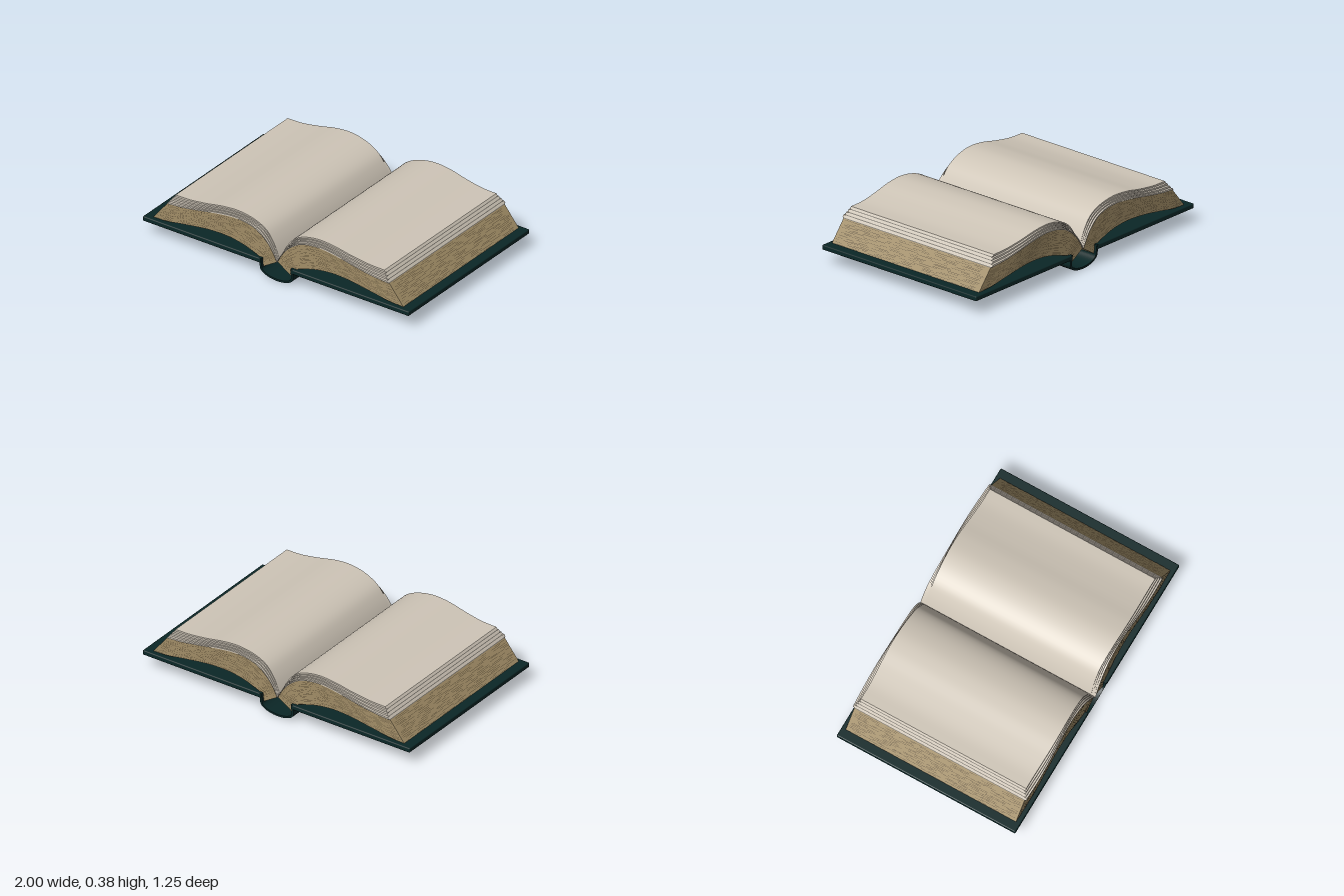
import * as THREE from 'three';
import { mergeGeometries } from 'three/addons/utils/BufferGeometryUtils.js';
import { RoundedBoxGeometry } from 'three/addons/geometries/RoundedBoxGeometry.js';

const mat = (name, color, side = THREE.FrontSide) => {
  const m = new THREE.MeshStandardMaterial({ color, side });
  m.name = name;
  return m;
};

const curve = (pts) => new THREE.CatmullRomCurve3(pts.map(([x, y]) => new THREE.Vector3(x, y, 0)));

// Profiles of one half of the pages, from gutter to fore edge
const BLOCK_BOTTOM = curve([[0.105, 0.07], [0.118, 0.115], [0.2, 0.15], [0.3, 0.175], [0.42, 0.187],
  [0.55, 0.183], [0.7, 0.163], [0.84, 0.138], [0.94, 0.132]]);
const BLOCK_TOP = curve([[0, 0.135], [0.03, 0.19], [0.08, 0.25], [0.15, 0.3], [0.22, 0.322],
  [0.32, 0.331], [0.45, 0.32], [0.6, 0.295], [0.72, 0.275], [0.835, 0.262]]);
const PAGE_TOP = curve([[0, 0.14], [0.015, 0.18], [0.05, 0.25], [0.1, 0.315], [0.18, 0.36],
  [0.3, 0.385], [0.42, 0.378], [0.55, 0.352], [0.68, 0.333], [0.785, 0.33]]);

// Surface patch from f(a, b)
function grid(f, na, nb, flip) {
  const pos = [], idx = [];
  for (let i = 0; i <= na; i++)
    for (let j = 0; j <= nb; j++) pos.push(...f(i / na, j / nb));
  for (let i = 0; i < na; i++)
    for (let j = 0; j < nb; j++) {
      const p = i * (nb + 1) + j, q = p + nb + 1;
      if (flip) idx.push(p, p + 1 + nb + 1, p + 1, p, q, q + 1);
      else idx.push(p, p + 1, q + 1, p, q + 1, q);
    }
  const g = new THREE.BufferGeometry();
  g.setAttribute('position', new THREE.Float32BufferAttribute(pos, 3));
  g.setIndex(idx);
  g.computeVertexNormals();
  return g;
}

// Point inside a curved stack: u from gutter to fore edge, v upward, w from back to front
function stack(lower, upper, zHalf, s) {
  return (u, v, w) => {
    const p = lower.getPointAt(u).lerp(upper.getPointAt(u), v);
    return [s * p.x, p.y, w * zHalf(u, v)];
  };
}

// Closed slab between two heights of a stack
function slab(F, v0, v1, s) {
  const N = 36, m = s < 0, V = (t) => v0 + (v1 - v0) * t, W = (t) => 2 * t - 1;
  return mergeGeometries([
    grid((a, b) => F(a, v1, W(b)), N, 2, m),
    grid((a, b) => F(a, v0, W(b)), N, 2, !m),
    grid((a, b) => F(a, V(b), 1), N, 1, !m),
    grid((a, b) => F(a, V(b), -1), N, 1, m),
    grid((a, b) => F(1, V(a), W(b)), 1, 2, !m),
    grid((a, b) => F(0, V(a), W(b)), 1, 2, m),
  ]);
}

// Broken lines of leaf edges on the ends and fore edge of the block
function leafLines(F, s, rnd) {
  const parts = [];
  const dashes = (make) => {
    for (let r = 0; r < 17; r++) {
      let t = 0.01 + rnd() * 0.04;
      while (t < 0.97) {
        const e = Math.min(0.99, t + 0.03 + rnd() * 0.1);
        const v = (r + 0.25 + rnd() * 0.5) / 17.5;
        parts.push(make(t, e, v, v + 0.014));
        t = e + 0.015 + rnd() * 0.07;
      }
    }
  };
  for (const w of [-1, 1])
    dashes((t, e, v0, v1) => grid((a, b) => {
      const p = F(t + (e - t) * a, v0 + (v1 - v0) * b, w);
      return [p[0], p[1], p[2] + w * 0.002];
    }, 5, 1, (w > 0) !== (s < 0)));
  dashes((t, e, v0, v1) => grid((a, b) => {
    const p = F(1, v0 + (v1 - v0) * a, 2 * (t + (e - t) * b) - 1);
    return [p[0] + s * 0.002, p[1] + 0.001, p[2]];
  }, 1, 1, s > 0));
  return mergeGeometries(parts);
}

// Hollow rounded spine, a little shorter at the bottom
function spineGeometry() {
  const shape = new THREE.Shape();
  shape.moveTo(-0.125, 0.13);
  shape.lineTo(-0.125, 0.065);
  shape.absellipse(0, 0.065, 0.125, 0.063, Math.PI, 2 * Math.PI, false);
  shape.lineTo(0.125, 0.13);
  shape.lineTo(0.11, 0.13);
  shape.lineTo(0.11, 0.065);
  shape.absellipse(0, 0.065, 0.11, 0.049, 2 * Math.PI, Math.PI, true);
  shape.lineTo(-0.11, 0.13);
  shape.closePath();
  const g = new THREE.ExtrudeGeometry(shape, { depth: 2, bevelEnabled: false, curveSegments: 24 });
  g.translate(0, 0, -1);
  const p = g.attributes.position;
  for (let i = 0; i < p.count; i++) p.setZ(i, p.getZ(i) * (0.609 + 0.13 * p.getY(i)));
  g.computeVertexNormals();
  return g;
}

export function createModel() {
  const group = new THREE.Group();
  const cover = mat('dark green cover', 0x0b2727);
  const paper = mat('paper', 0xcfc6b8);
  const gap = mat('page gap', 0x77726a);
  const tan = mat('aged page edge', 0xa08c66);
  const brown = mat('leaf line', 0x5c4e36, THREE.DoubleSide);
  let seed = 7;
  const rnd = () => (seed = (seed * 16807) % 2147483647) / 2147483647;
  const add = (name, g, m) => {
    const mesh = new THREE.Mesh(g, m);
    mesh.name = name;
    group.add(mesh);
    return mesh;
  };

  add('spine', spineGeometry(), cover);

  for (const s of [1, -1]) {
    const side = s > 0 ? 'left' : 'right';

    // Cover board
    add(side + 'Cover', new RoundedBoxGeometry(0.885, 0.032, 1.255, 2, 0.007), cover)
      .position.set(s * 0.5575, 0.114, 0);

    // Thick page block
    const block = stack(BLOCK_BOTTOM, BLOCK_TOP, (u) => 0.602 + 0.004 * Math.cos(u * 9), s);
    add(side + 'PageBlock', slab(block, 0, 1, s), tan);
    add(side + 'LeafLines', leafLines(block, s, rnd), brown);

    // Loose upper pages, each stepped in from the one below
    const pages = 4;
    for (let k = 0; k < pages; k++) {
      const v0 = k / pages, v1 = (k + 1) / pages, mid = v0 + 0.25 / pages;
      const half = (inset) => (u) => 0.61 - 0.008 * k - inset
        + 0.005 * Math.cos(u * 8 + k * 0.6);
      add(side + 'PageGap' + k, slab(stack(BLOCK_TOP, PAGE_TOP, half(0.007), s), v0, mid, s), gap);
      add(side + 'Page' + k, slab(stack(BLOCK_TOP, PAGE_TOP, half(0), s), mid, v1, s), paper);
    }
  }
  return group;
}
